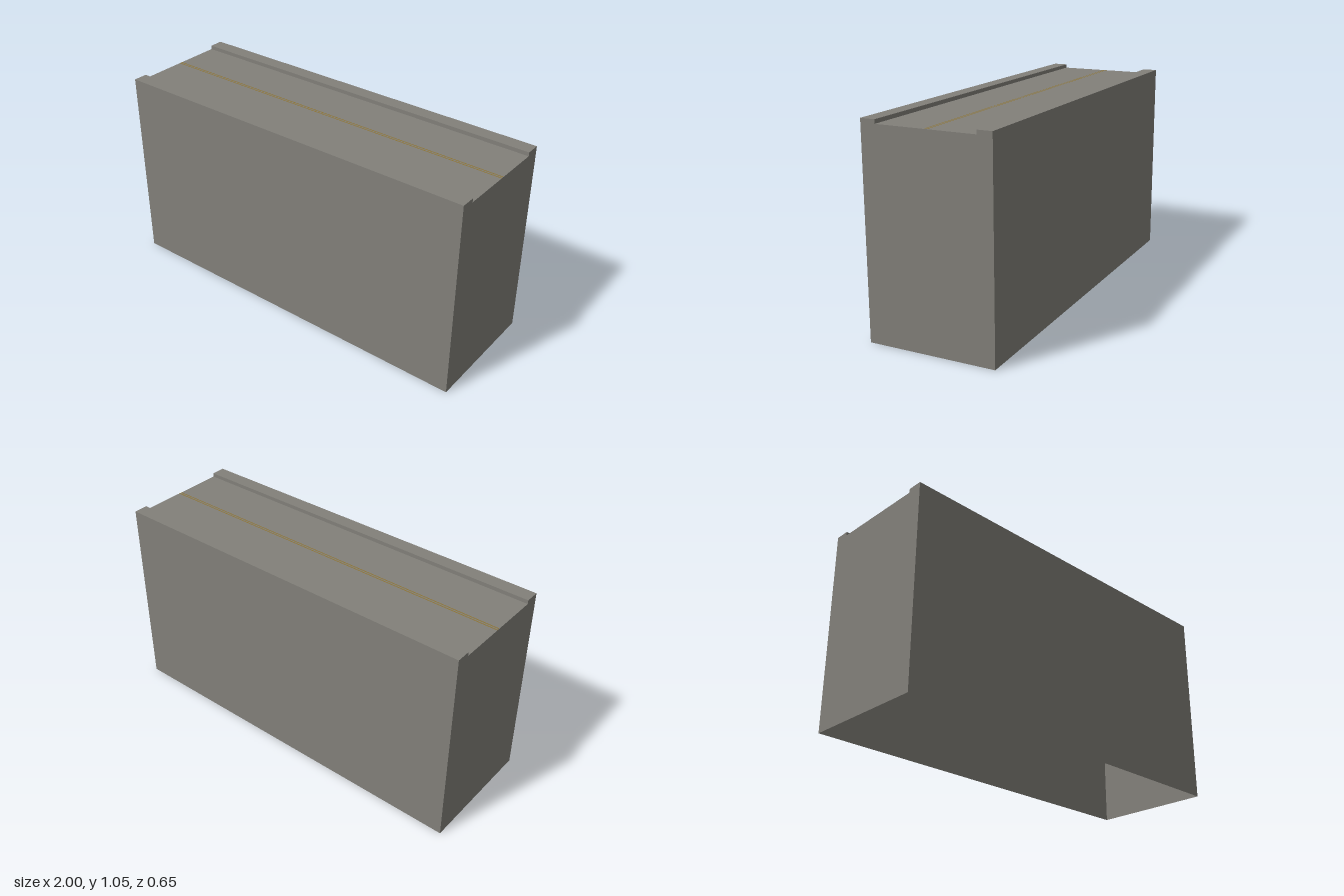
import * as THREE from 'three';

const LENGTH = 2, HALF = 0.325, CURB = 0.25, DECK = 1.028, TOP = 1.048;

export function createModel() {
  const concrete = new THREE.MeshStandardMaterial({ color: 0x82807a, side: THREE.DoubleSide });
  concrete.name = 'concrete';
  const yellow = new THREE.MeshStandardMaterial({ color: 0x8c7434 });
  yellow.name = 'linePaint';

  const group = new THREE.Group();
  group.name = 'roadBlock';
  const add = (name, geometry, material, x = 0, y = 0, z = 0) => {
    const mesh = new THREE.Mesh(geometry, material);
    mesh.name = name;
    mesh.position.set(x, y, z);
    group.add(mesh);
    return mesh;
  };

  // Road deck between the curbs
  add('roadDeck', new THREE.PlaneGeometry(LENGTH, CURB * 2).rotateX(-Math.PI / 2), concrete, 0, DECK);

  // Side walls, curb tops and curb inner faces; the underside stays open
  for (const s of [1, -1]) {
    const turn = s > 0 ? 0 : Math.PI;
    add('sideWall', new THREE.PlaneGeometry(LENGTH, TOP).rotateY(turn), concrete, 0, TOP / 2, s * HALF);
    add('curbTop', new THREE.PlaneGeometry(LENGTH, HALF - CURB).rotateX(-Math.PI / 2),
      concrete, 0, TOP, s * (HALF + CURB) / 2);
    add('curbInnerFace', new THREE.PlaneGeometry(LENGTH, TOP - DECK).rotateY(Math.PI - turn),
      concrete, 0, (TOP + DECK) / 2, s * CURB);
  }

  // End walls follow the curbed cross-section
  const section = new THREE.Shape([
    [-HALF, 0], [HALF, 0], [HALF, TOP], [CURB, TOP],
    [CURB, DECK], [-CURB, DECK], [-CURB, TOP], [-HALF, TOP],
  ].map(([z, y]) => new THREE.Vector2(z, y)));
  for (const s of [1, -1]) {
    add('endWall', new THREE.ShapeGeometry(section).rotateY(s * Math.PI / 2), concrete, s * LENGTH / 2);
  }

  // Double centre line
  for (const z of [-0.013, 0]) {
    add('centreLine', new THREE.PlaneGeometry(LENGTH, 0.006).rotateX(-Math.PI / 2), yellow, 0, DECK + 0.001, z);
  }
  return group;
}
